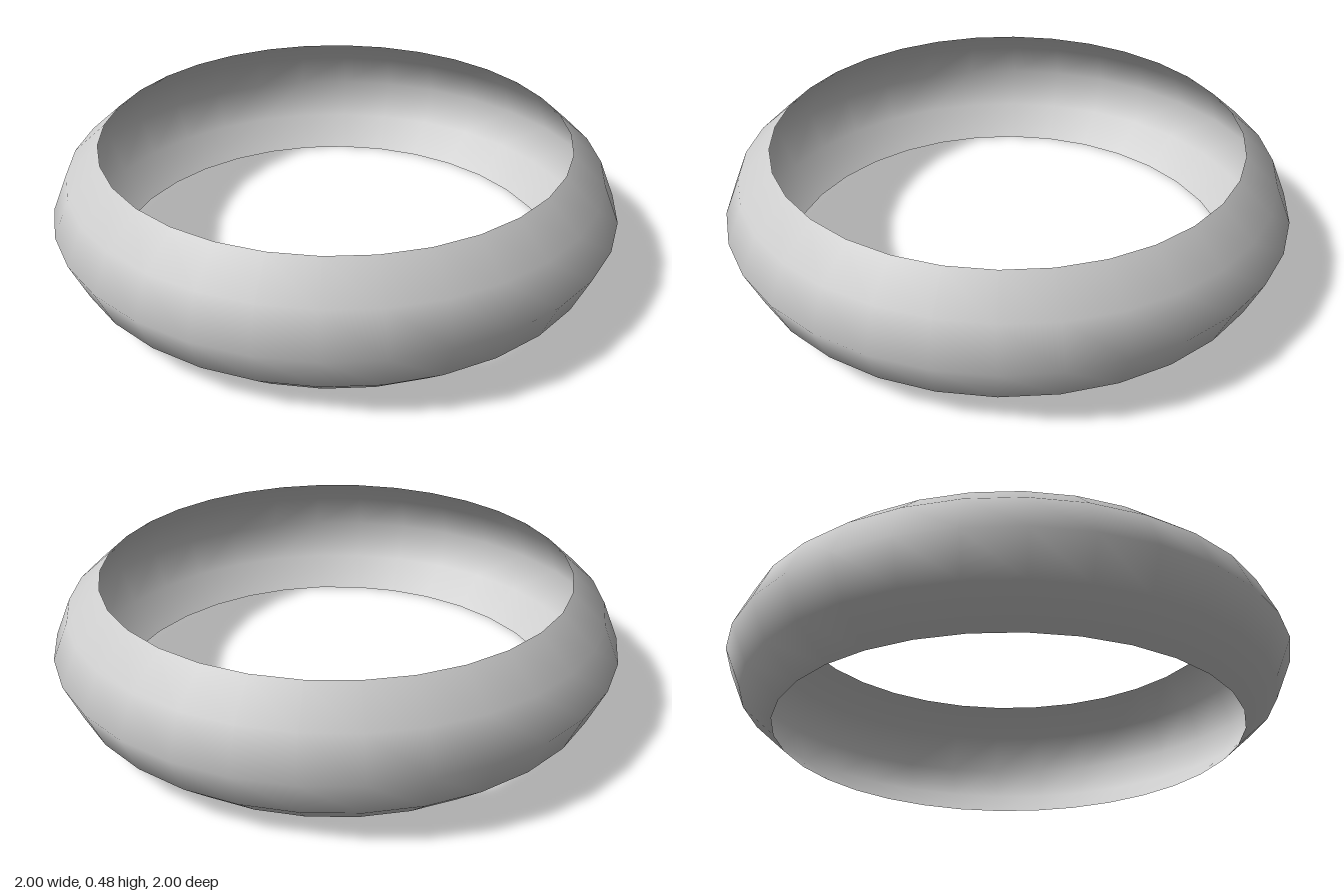
import * as THREE from 'three';

export function createModel() {
  const group = new THREE.Group();
  group.name = 'ring';

  // Bulging open band: the profile is symmetric about its widest level
  const half = 0.24;
  const profile = [
    [0.825, -half], [0.942, -0.136], [1, 0], [0.942, 0.136], [0.825, half],
  ].map(([r, y]) => new THREE.Vector2(r, y + half));

  const band = new THREE.Mesh(
    new THREE.LatheGeometry(profile, 32),
    new THREE.MeshStandardMaterial({ color: 0xcccccc, side: THREE.DoubleSide })
  );
  band.name = 'band';
  group.add(band);
  return group;
}
